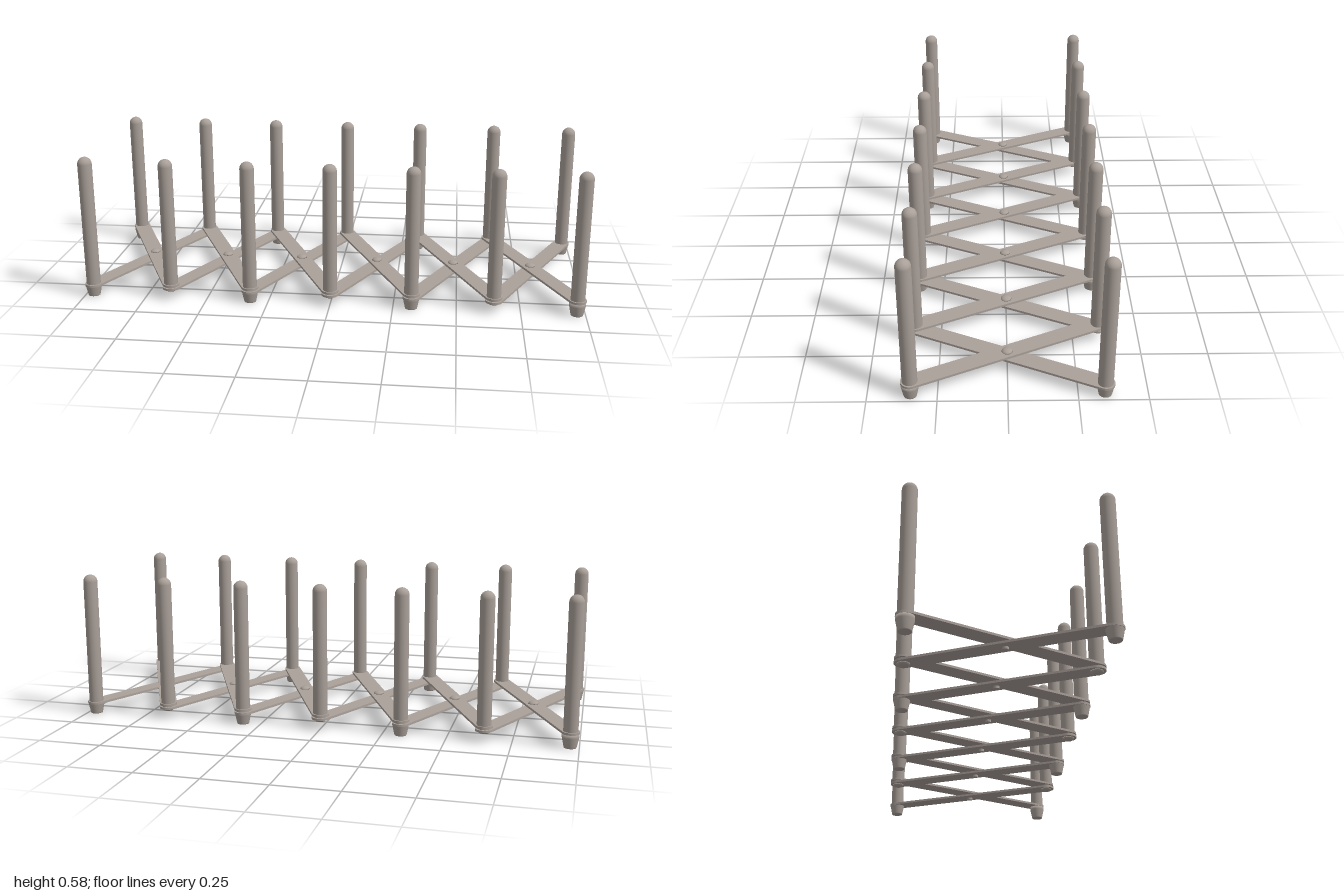
import * as THREE from 'three';

const PITCH = 0.322, DEPTH = 0.346, R = 0.034, PLATE = 0.009;
const LOWER = 0.042, UPPER = 0.056, TOP = UPPER + PLATE;

// Turned part from [radius, y] pairs
const turned = (pts, sides = 32) =>
  new THREE.LatheGeometry(pts.map(([r, y]) => new THREE.Vector2(r, y)), sides);

// Flat bar with round ends, lying in the ground plane along its own x
function barGeometry(length) {
  const h = length / 2, s = new THREE.Shape();
  s.moveTo(-h, -R);
  s.lineTo(h, -R);
  s.absarc(h, 0, R, -Math.PI / 2, Math.PI / 2, false);
  s.lineTo(-h, R);
  s.absarc(-h, 0, R, Math.PI / 2, Math.PI * 1.5, false);
  const g = new THREE.ExtrudeGeometry(s, { depth: PLATE, bevelEnabled: false, curveSegments: 12 });
  return g.rotateX(-Math.PI / 2);
}

// Post with a domed tip
function postGeometry(base) {
  const r = 0.028, tip = 0.58, pts = [[0, base], [r, base], [r, tip - r]];
  for (let i = 1; i <= 8; i++) {
    const a = (i / 8) * Math.PI / 2;
    pts.push([i === 8 ? 0 : r * Math.cos(a), tip - r + r * Math.sin(a)]);
  }
  return turned(pts);
}

// Tapered foot with a slightly rounded sole
const footGeometry = (top) => turned([
  [0, 0], [0.021, 0], [0.0235, 0.001], [0.0245, 0.004], [0.0325, 0.042], [0.0325, top], [0, top],
]);

export function createModel() {
  const model = new THREE.Group();
  const metal = new THREE.MeshStandardMaterial({ color: 0xaaa099 });
  metal.name = 'warm grey';
  const add = (name, geometry, x, y, z) => {
    const m = new THREE.Mesh(geometry, metal);
    m.name = name;
    m.position.set(x, y, z);
    model.add(m);
    return m;
  };

  // Lattice of crossing bars with a rivet at each crossing
  const bar = barGeometry(Math.hypot(PITCH, 2 * DEPTH));
  const angle = Math.atan2(2 * DEPTH, PITCH);
  const rivetHead = turned([
    [0, TOP], [0.021, TOP], [0.02, 0.068], [0.016, 0.072], [0.009, 0.0748], [0, 0.0755],
  ], 24);
  const rivetShank = new THREE.CylinderGeometry(0.011, 0.011, TOP - 0.032, 20);
  const washer = new THREE.CylinderGeometry(0.022, 0.022, UPPER - LOWER - PLATE, 24);
  for (let i = 0; i < 6; i++) {
    const x = (i - 2.5) * PITCH;
    add('upperBar', bar, x, UPPER, 0).rotation.y = -angle;
    add('lowerBar', bar, x, LOWER, 0).rotation.y = angle;
    add('rivetHead', rivetHead, x, 0, 0);
    add('rivetShank', rivetShank, x, (TOP + 0.032) / 2, 0);
    add('rivetWasher', washer, x, (UPPER + LOWER + PLATE) / 2, 0);
  }

  // Posts, standing on feet or held by small bolts in alternation
  const post = postGeometry(TOP), endPost = postGeometry(LOWER + PLATE);
  const foot = footGeometry(LOWER), endFoot = footGeometry(UPPER);
  const bolt = turned([
    [0, 0.03], [0.01, 0.031], [0.019, 0.034], [0.024, 0.039], [0.024, LOWER], [0, LOWER],
  ], 24);
  const spacer = new THREE.CylinderGeometry(0.026, 0.026, UPPER - LOWER - PLATE, 24);
  for (let i = 0; i < 7; i++) {
    for (const side of [-1, 1]) {
      const x = (i - 3) * PITCH, z = side * DEPTH;
      const isEnd = i === 0 || i === 6;
      const upperEnd = isEnd && x * z > 0;
      add('post', isEnd && !upperEnd ? endPost : post, x, 0, z);
      if (i % 2 === 0) add('foot', upperEnd ? endFoot : foot, x, 0, z);
      else add('bolt', bolt, x, 0, z);
      if (!isEnd) add('spacer', spacer, x, (UPPER + LOWER + PLATE) / 2, z);
    }
  }
  return model;
}
